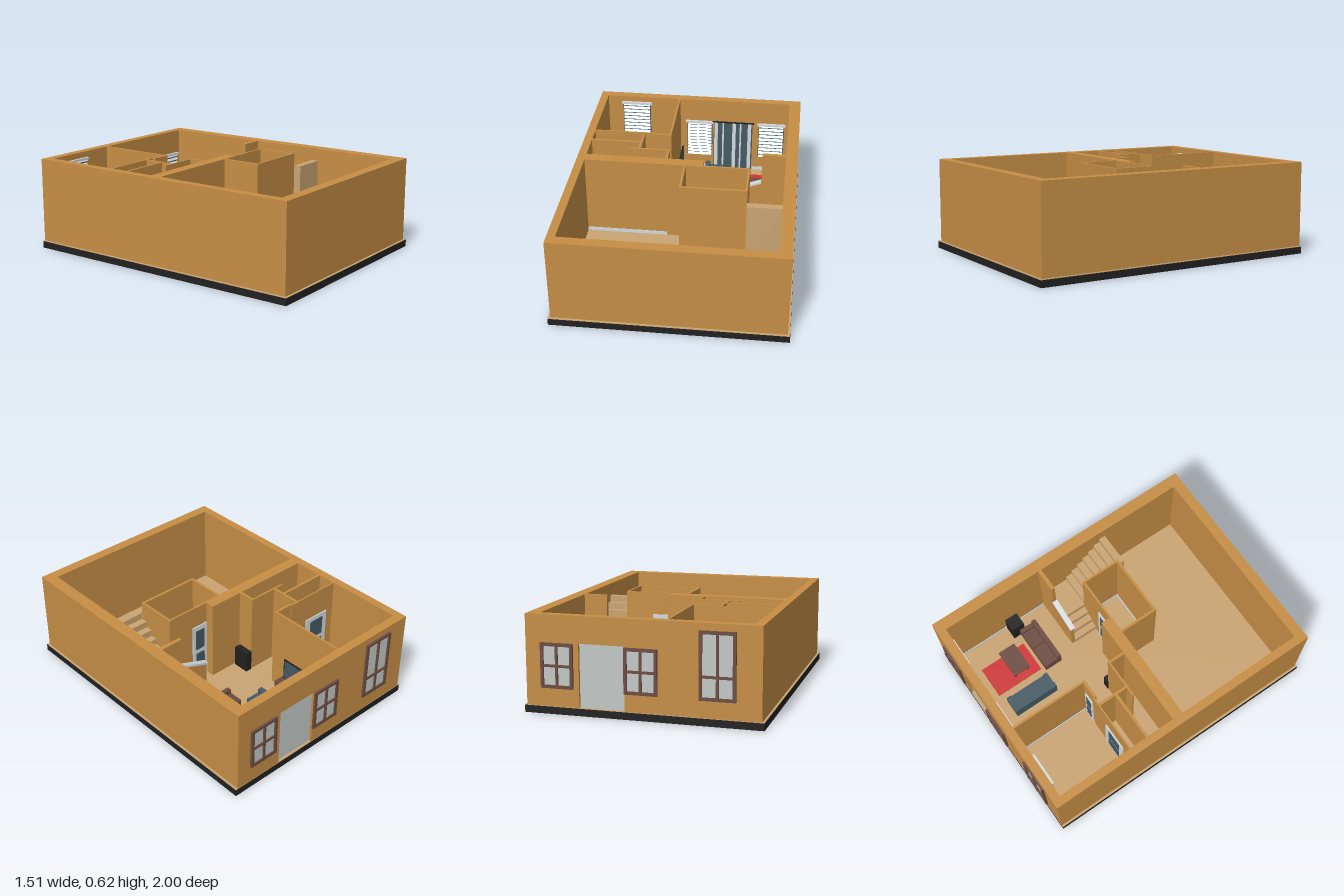
import * as THREE from 'three';

const mat = (name, color) => {
  const m = new THREE.MeshStandardMaterial({ color });
  m.name = name;
  return m;
};

export function createModel() {
  const wallMat = mat('ochre wall', 0xc68e45);
  const floorMat = mat('tan wood', 0xcaa472);
  const black = mat('black', 0x212121);
  const trim = mat('pale trim', 0xd4dadd);
  const pane = mat('grey pane', 0xc2c7c6);
  const brown = mat('brown wood', 0x6d4c41);
  const blue = mat('slate blue', 0x455a64);
  const red = mat('red', 0xd03535);

  const model = new THREE.Group();
  const F = 0.05, TOP = 0.62; // floor level and wall top

  const group = (name) => {
    const g = new THREE.Group();
    g.name = name;
    model.add(g);
    return g;
  };
  // Box given by its limits on each axis
  const box = (parent, name, m, x0, x1, y0, y1, z0, z1) => {
    const mesh = new THREE.Mesh(new THREE.BoxGeometry(x1 - x0, y1 - y0, z1 - z0), m);
    mesh.position.set((x0 + x1) / 2, (y0 + y1) / 2, (z0 + z1) / 2);
    mesh.name = name;
    parent.add(mesh);
    return mesh;
  };

  // Foundation and floor
  box(model, 'foundation', black, -0.755, 0.755, 0, 0.046, -0.987, 1);
  box(model, 'floor', floorMat, -0.754, 0.754, 0.046, F, -0.986, 0.999);

  // Outer walls
  const outer = group('outerWalls');
  box(outer, 'frontWall', wallMat, -0.74, 0.74, F, TOP, 0.915, 0.985);
  box(outer, 'rightWall', wallMat, -0.74, -0.685, F, TOP, -0.926, 0.915);
  box(outer, 'leftWall', wallMat, 0.66, 0.74, F, TOP, -0.926, 0.915);
  // Back wall with an opening for the patio door
  const s = new THREE.Shape();
  [[-0.74, F], [0.105, F], [0.105, 0.45], [0.395, 0.45], [0.395, F], [0.74, F], [0.74, TOP], [-0.74, TOP]]
    .forEach(([x, y], i) => (i ? s.lineTo(x, y) : s.moveTo(x, y)));
  const back = new THREE.Mesh(new THREE.ExtrudeGeometry(s, { depth: 0.059, bevelEnabled: false }), wallMat);
  back.position.z = -0.985;
  back.name = 'backWall';
  outer.add(back);

  // Inner walls: x0, x1, z0, z1
  const inner = group('innerWalls');
  [
    [-0.16, -0.145, -0.926, -0.376], // bedroom side
    [-0.28, -0.16, -0.395, -0.376],
    [-0.685, -0.28, -0.402, -0.392],
    [-0.347, -0.33, -0.392, -0.17],
    [-0.685, -0.347, -0.275, -0.257],
    [-0.41, -0.13, -0.185, -0.172],
    [-0.148, -0.13, -0.172, -0.065],
    [-0.685, 0.115, -0.065, 0.012], // thick middle wall
    [0.115, 0.43, -0.002, 0.012],
    [-0.015, 0.002, 0.012, 0.285], // closet
    [0.002, 0.415, 0.268, 0.285],
    [0.415, 0.43, 0.012, 0.285],
    [0.5, 0.66, -0.205, -0.178], // beside the stairs
  ].forEach(([x0, x1, z0, z1]) => box(inner, 'innerWall', wallMat, x0, x1, F, TOP, z0, z1));

  // Skirting boards: x0, x1, z0, z1
  const skirting = group('skirtingBoards');
  [
    [-0.685, -0.681, -0.926, -0.402], [-0.164, -0.16, -0.926, -0.4], [-0.685, -0.16, -0.926, -0.922],
    [-0.145, 0.1, -0.926, -0.922], [0.4, 0.66, -0.926, -0.922], [0.656, 0.66, -0.926, -0.205],
    [-0.685, -0.681, -0.392, -0.275], [-0.685, -0.681, -0.257, -0.065], [-0.685, -0.347, -0.257, -0.253],
    [-0.152, -0.148, -0.172, -0.065], [-0.685, -0.13, 0.012, 0.016], [0.002, 0.006, 0.012, 0.268],
    [0.411, 0.415, 0.012, 0.268], [0.002, 0.415, 0.264, 0.268], [0.002, 0.415, 0.012, 0.016],
  ].forEach(([x0, x1, z0, z1]) => box(skirting, 'skirting', trim, x0, x1, F, F + 0.025, z0, z1));

  // Window: framed panes outside, dark glass and blinds inside
  const addWindow = (x0, x1, y0, y1, barY) => {
    const g = group('window');
    const w = 0.02, xm = (x0 + x1) / 2, b = 0.008;
    box(g, 'panes', pane, x0 + w, x1 - w, y0 + w, y1 - w, -0.99, -0.984);
    for (const [a, c] of [[x0, x0 + w], [xm - b, xm + b], [x1 - w, x1]])
      box(g, 'upright', brown, a, c, y0, y1, -1, -0.984);
    for (const [a, c] of [[y0, y0 + w], [barY - b, barY + b], [y1 - w, y1]])
      box(g, 'crossbar', brown, x0, x1, a, c, -0.999, -0.984);
    box(g, 'insideGlass', blue, x0 + 0.01, x1 - 0.01, y0, y1, -0.928, -0.922);
    const n = Math.round((y1 - y0) / 0.027);
    for (let i = 0; i < n; i++) {
      const slat = box(g, 'blindSlat', trim, x0 + 0.015, x1 - 0.015, -0.0015, 0.0015, -0.01, 0.01);
      slat.position.y = y0 + (i + 0.5) * (y1 - y0) / n;
      slat.position.z = -0.914;
      slat.rotation.x = 0.85;
    }
    box(g, 'blindRail', trim, x0, x1, y1 - 0.012, y1 + 0.004, -0.926, -0.908);
  };
  addWindow(0.43, 0.64, 0.165, 0.447, 0.305);
  addWindow(-0.105, 0.105, 0.16, 0.445, 0.3);
  addWindow(-0.585, -0.36, 0.157, 0.575, 0.3);

  // Patio door with curtains inside
  const patio = group('patioDoor');
  box(patio, 'doorPanel', pane, 0.105, 0.395, F, 0.45, -0.968, -0.96);
  box(patio, 'insideGlass', blue, 0.105, 0.395, F, 0.45, -0.936, -0.928);
  [0.11, 0.17, 0.245, 0.3, 0.36].forEach((x, i) =>
    box(patio, 'curtain', trim, x, x + (i % 2 ? 0.012 : 0.026), F + 0.01, 0.44, -0.928, -0.918));
  box(patio, 'curtainRail', black, 0.095, 0.405, 0.443, 0.45, -0.926, -0.914);

  // Inside doors facing the back, with glazed panels
  const addDoor = (x0, x1, z, top) => {
    const g = group('insideDoor');
    box(g, 'doorLeaf', trim, x0, x1, F, top, z - 0.008, z);
    const w = (x1 - x0) * 0.2;
    for (const [a, c] of [[0.12, 0.48], [0.56, 0.92]])
      box(g, 'doorPanel', blue, x0 + w, x1 - w, F + (top - F) * a, F + (top - F) * c, z - 0.011, z - 0.007);
  };
  addDoor(0.118, 0.24, -0.002, 0.47);
  addDoor(-0.262, -0.18, -0.395, 0.46);
  addDoor(-0.62, -0.425, -0.402, 0.43);

  // Stairs: a short flight to a landing, then a long one
  const stairs = group('stairs');
  const rise = 0.044;
  for (let i = 0; i < 3; i++)
    box(stairs, 'lowerStep', floorMat, 0.29 + i * 0.0467, 0.29 + (i + 1) * 0.0467, F, F + (i + 1) * rise, -0.178, -0.002);
  box(stairs, 'landing', floorMat, 0.43, 0.66, F, F + 4 * rise, -0.178, 0);
  for (let i = 0; i < 7; i++)
    box(stairs, 'upperStep', floorMat, 0.43, 0.66, F, F + (i + 5) * rise, i * 0.048, (i + 1) * 0.048);

  // Sloping half wall with a pale cap
  const sloped = (name, m, pts, z, depth) => {
    const shape = new THREE.Shape(pts.map(([x, y]) => new THREE.Vector2(x, y)));
    const mesh = new THREE.Mesh(new THREE.ExtrudeGeometry(shape, { depth, bevelEnabled: false }), m);
    mesh.position.z = z;
    mesh.name = name;
    stairs.add(mesh);
  };
  sloped('halfWall', wallMat, [[0.295, F], [0.5, F], [0.5, 0.395], [0.295, 0.32]], -0.205, 0.027);
  sloped('halfWallCap', trim, [[0.285, 0.316], [0.5, 0.395], [0.5, 0.41], [0.285, 0.331]], -0.21, 0.037);

  // Sofa facing +z, later turned into place
  const addSofa = (name, m, width, depth, x, z, turn) => {
    const g = group(name);
    const h = width / 2, d = depth / 2, arm = 0.032;
    box(g, 'sofaBase', m, -h, h, 0.012, 0.06, -d, d);
    box(g, 'sofaBack', m, -h, h, 0.06, 0.118, -d, -d + 0.032);
    for (const k of [-1, 1]) {
      box(g, 'sofaArm', m, k * (h - arm / 2) - arm / 2, k * (h - arm / 2) + arm / 2, 0.06, 0.09, -d + 0.032, d);
      const c = k * (h - arm) / 2;
      box(g, 'seatCushion', m, c - (h - arm) / 2 + 0.002, c + (h - arm) / 2 - 0.002, 0.06, 0.075, -d + 0.032, d - 0.002);
      for (const f of [-1, 1])
        box(g, 'sofaFoot', black, k * (h - 0.02) - 0.008, k * (h - 0.02) + 0.008, 0, 0.012, f * (d - 0.02) - 0.008, f * (d - 0.02) + 0.008);
    }
    g.position.set(x, F, z);
    g.rotation.y = turn;
  };
  addSofa('blueSofa', blue, 0.33, 0.13, 0.125, -0.65, Math.PI / 2);
  addSofa('brownSofa', brown, 0.33, 0.13, 0.393, -0.403, Math.PI);

  // Rug and coffee table
  box(model, 'rug', red, 0.26, 0.49, F, F + 0.004, -0.84, -0.49);
  const table = group('coffeeTable');
  box(table, 'tableTop', brown, 0.3, 0.503, 0.112, 0.125, -0.682, -0.553);
  for (const x of [0.31, 0.48])
    for (const z of [-0.672, -0.575]) box(table, 'tableLeg', brown, x, x + 0.012, F, 0.112, z, z + 0.012);

  // Television on its stand
  const tv = group('television');
  box(tv, 'stand', brown, -0.14, -0.065, F, 0.15, -0.77, -0.48);
  box(tv, 'foot', black, -0.12, -0.085, 0.15, 0.156, -0.67, -0.59);
  box(tv, 'neck', black, -0.108, -0.098, 0.156, 0.19, -0.645, -0.615);
  box(tv, 'screenBody', black, -0.11, -0.1, 0.185, 0.335, -0.735, -0.525);
  box(tv, 'screen', blue, -0.1, -0.098, 0.193, 0.328, -0.727, -0.533);

  // Black cabinets
  box(model, 'cornerCabinet', black, 0.56, 0.656, F, 0.2, -0.52, -0.425);
  box(model, 'hallCabinet', black, -0.128, -0.083, F, 0.2, -0.19, -0.075);

  return model;
}
